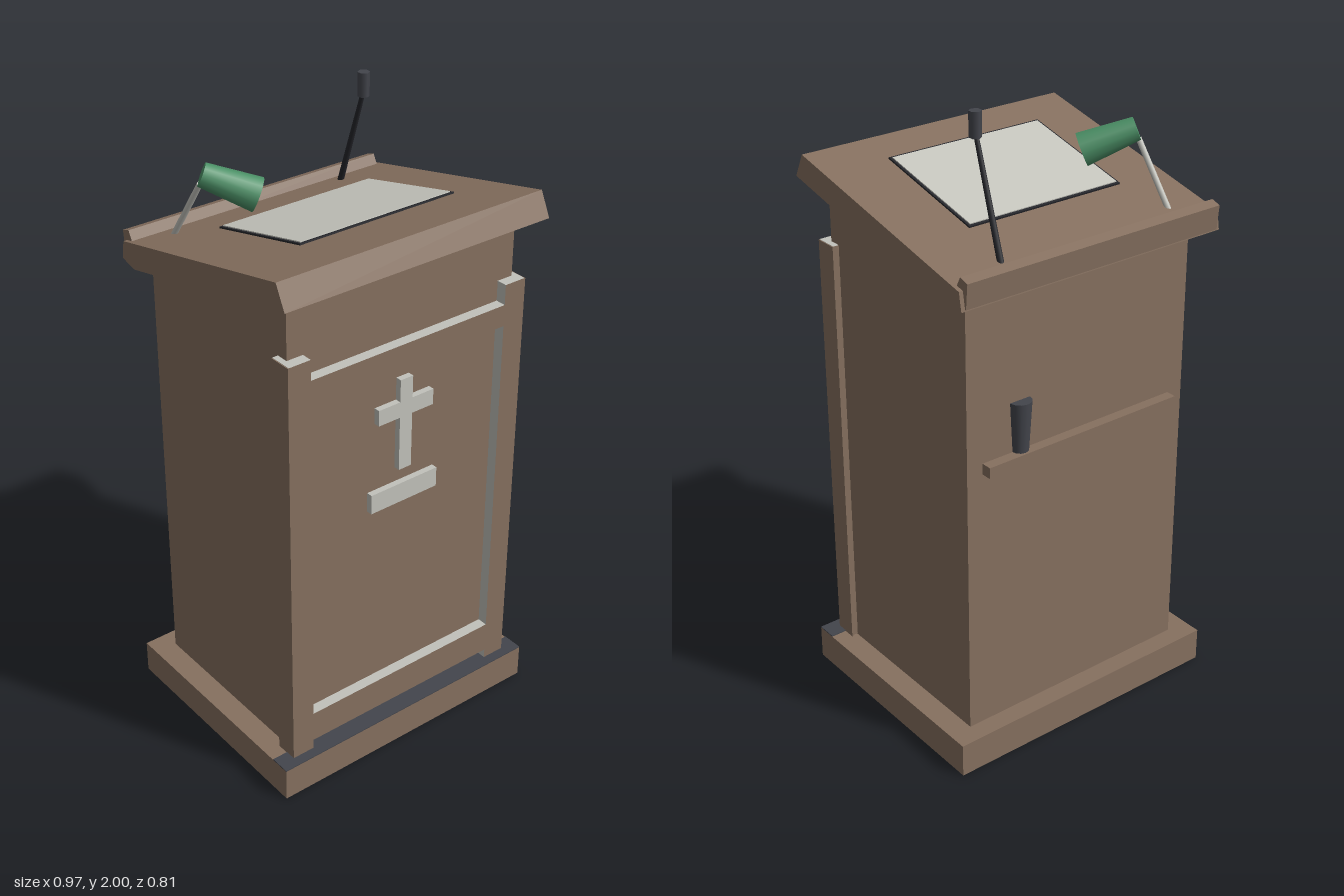
import * as THREE from 'three';

const mat = (name, color) => {
  const m = new THREE.MeshStandardMaterial({ color });
  m.name = name;
  return m;
};

export function createModel() {
  const wood = mat('wood', 0x86705f);
  const silver = mat('silver', 0xc2c2bb);
  const paperMat = mat('paper', 0xc6c6be);
  const black = mat('black', 0x25262b);
  const slate = mat('slate', 0x43454c);
  const green = mat('green', 0x4c9167);

  const model = new THREE.Group();
  model.name = 'lectern';

  const add = (name, geo, material, parent = model) => {
    const m = new THREE.Mesh(geo, material);
    m.name = name;
    parent.add(m);
    return m;
  };
  // Box given by its limits on each axis
  const box = (name, material, [x0, x1], [y0, y1], [z0, z1]) =>
    add(name, new THREE.BoxGeometry(x1 - x0, y1 - y0, z1 - z0), material)
      .position.set((x0 + x1) / 2, (y0 + y1) / 2, (z0 + z1) / 2);
  const shapeOf = (pts) => new THREE.Shape(pts.map(([a, b]) => new THREE.Vector2(a, b)));
  // Side profile in (z, y), extruded across x
  const across = (name, pts, halfWidth, material) => {
    const geo = new THREE.ExtrudeGeometry(shapeOf(pts), { depth: halfWidth * 2, bevelEnabled: false });
    geo.translate(0, 0, -halfWidth).rotateY(-Math.PI / 2);
    return add(name, geo, material);
  };
  // Tapered cylinder running from a to b
  const rod = (name, a, b, ra, rb, sides, material, parent) => {
    const p = new THREE.Vector3(...a), q = new THREE.Vector3(...b);
    const dir = q.clone().sub(p);
    const m = add(name, new THREE.CylinderGeometry(rb, ra, dir.length(), sides), material, parent);
    m.position.copy(p).add(q).multiplyScalar(0.5);
    m.quaternion.setFromUnitVectors(new THREE.Vector3(0, 1, 0), dir.normalize());
    return m;
  };

  // Plinth and cabinet
  box('base', wood, [-0.485, 0.485], [0, 0.11], [-0.392, 0.392]);
  box('baseStrip', slate, [-0.485, 0.485], [0.11, 0.113], [0.325, 0.392]);
  across('cabinet', [[0.325, 0.11], [0.325, 1.69], [-0.33, 1.545], [-0.33, 0.11]], 0.41, wood);

  // Front frame: posts and rails around a recessed panel, with light inner edges
  const frame = shapeOf([
    [-0.429, 0.113], [-0.355, 0.113], [-0.355, 0.145], [0.355, 0.145], [0.355, 0.113], [0.429, 0.113],
    [0.429, 1.495], [0.355, 1.495], [0.355, 1.43], [-0.355, 1.43], [-0.355, 1.495], [-0.429, 1.495],
  ]);
  frame.holes.push(new THREE.Path([[-0.355, 0.25], [-0.355, 1.36], [0.355, 1.36], [0.355, 0.25]]
    .map(([x, y]) => new THREE.Vector2(x, y))));
  add('frontFrame', new THREE.ExtrudeGeometry(frame, { depth: 0.074, bevelEnabled: false }), [wood, silver])
    .position.z = 0.286;
  for (const s of [-1, 1]) {
    const x = s * 0.43;
    box('postSide', wood, [x - 0.002, x + 0.002], [0.11, 1.494], [0.285, 0.36]);
  }

  // Cross and plaque
  box('crossUpright', silver, [-0.023, 0.023], [1.0, 1.305], [0.32, 0.345]);
  for (const s of [-1, 1]) {
    box('crossArm', silver, [Math.min(s * 0.023, s * 0.102), Math.max(s * 0.023, s * 0.102)],
      [1.18, 1.232], [0.32, 0.345]);
  }
  box('plaque', silver, [-0.125, 0.125], [0.885, 0.95], [0.32, 0.345]);

  // Sloping desk top and its rear lip
  across('deskTop', [[0.365, 1.765], [0.402, 1.69], [-0.335, 1.525], [-0.395, 1.54], [-0.385, 1.597]], 0.47, wood);
  across('bookLip', [[-0.352, 1.59], [-0.374, 1.632], [-0.405, 1.622], [-0.398, 1.545], [-0.355, 1.55]], 0.457, wood);

  // Sheet of paper on a dark backing
  const sheet = new THREE.Group();
  sheet.name = 'readingSheet';
  sheet.position.set(0, 1.709, 0.018);
  sheet.rotation.x = -0.236;
  model.add(sheet);
  add('backing', new THREE.BoxGeometry(0.55, 0.005, 0.394), black, sheet);
  add('paper', new THREE.BoxGeometry(0.535, 0.004, 0.378), paperMat, sheet).position.y = 0.0035;

  // Microphone
  rod('microphoneStem', [0.28, 1.6, -0.322], [0.266, 1.935, -0.195], 0.01, 0.007, 8, black);
  rod('microphoneHead', [0.266, 1.925, -0.193], [0.266, 2.0, -0.193], 0.018, 0.019, 6, slate);

  // Reading lamp
  rod('lampStem', [-0.345, 1.6, -0.315], [-0.318, 1.8, -0.2], 0.009, 0.009, 8, silver);
  rod('lampShade', [-0.314, 1.829, -0.196], [-0.188, 1.766, -0.102], 0.036, 0.052, 12, green);

  // Rear shelf with a cup
  box('rearShelf', wood, [-0.355, 0.355], [0.98, 1.015], [-0.364, -0.325]);
  rod('cup', [0.22, 1.015, -0.33], [0.22, 1.175, -0.33], 0.027, 0.036, 12, slate);

  return model;
}
